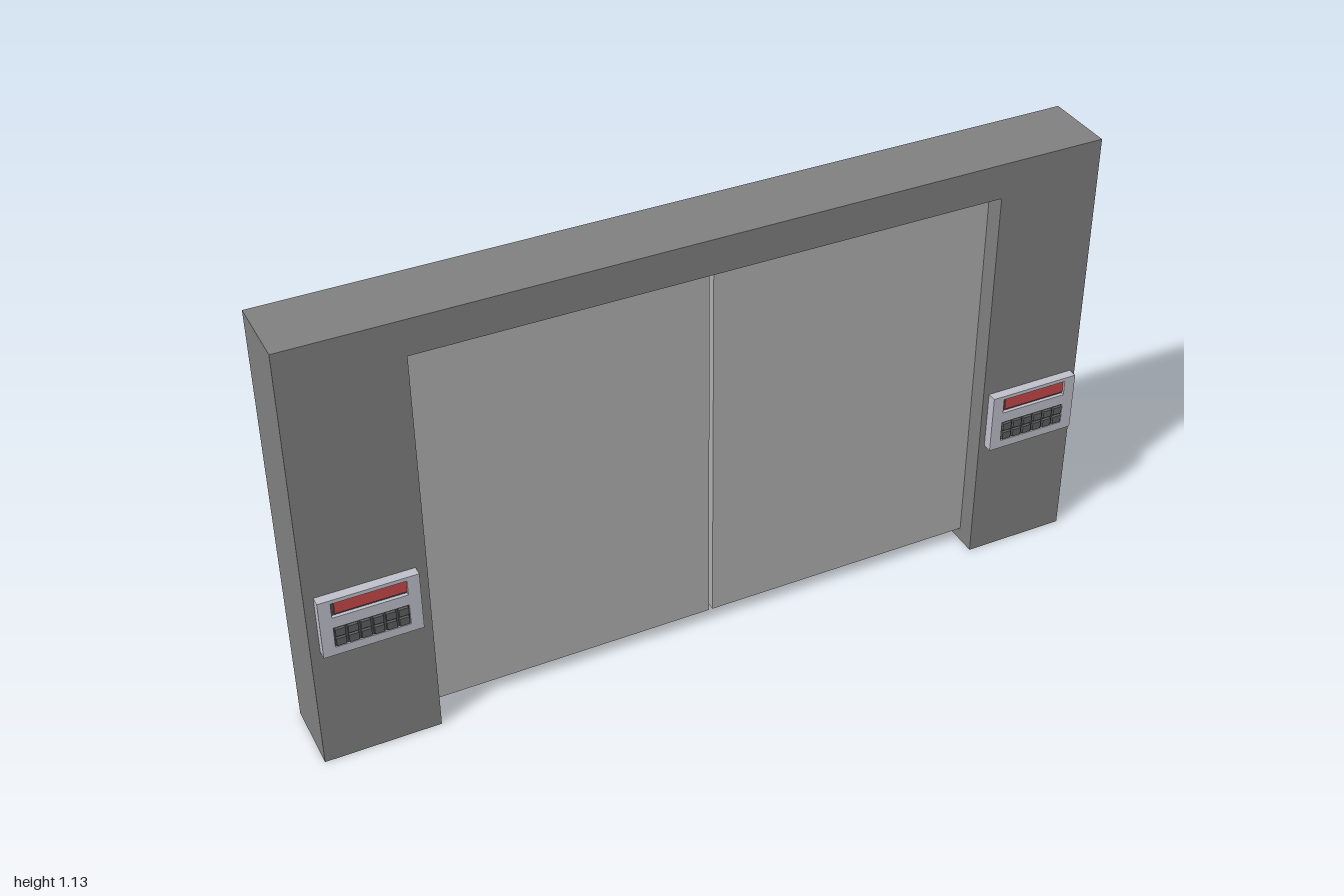
import * as THREE from 'three';

const material = (color) => new THREE.MeshStandardMaterial({ color });
const frameMat = material(0x808080);
const doorMat = material(0xb0b0b0);
const plateMat = material(0xc0c0cc);
const redMat = material(0xc84848);
const darkMat = material(0x484a4a);
const keyMat = material(0x5c6060);

// Box given by its lower and upper limits on each axis
function box(name, mat, x0, x1, y0, y1, z0, z1) {
  const mesh = new THREE.Mesh(new THREE.BoxGeometry(x1 - x0, y1 - y0, z1 - z0), mat);
  mesh.position.set((x0 + x1) / 2, (y0 + y1) / 2, (z0 + z1) / 2);
  mesh.name = name;
  return mesh;
}

function extrude(name, mat, shape, depth, z) {
  const mesh = new THREE.Mesh(new THREE.ExtrudeGeometry(shape, { depth, bevelEnabled: false }), mat);
  mesh.position.z = z;
  mesh.name = name;
  return mesh;
}

const polygon = (points) => points.map(([x, y]) => new THREE.Vector2(x, y));
const rectangle = (x0, x1, y0, y1) => polygon([[x0, y0], [x1, y0], [x1, y1], [x0, y1]]);

// Control panel, centred on x and standing on z = 0
function controlPanel(name) {
  const panel = new THREE.Group();
  panel.name = name;
  const w = 0.118, d = 0.0885;
  panel.add(box('panelBack', plateMat, -w, w, 0.328, 0.484, 0, 0.014));

  // Face plate with openings for display and keypad
  const face = new THREE.Shape(rectangle(-w, w, 0.328, 0.484));
  face.holes.push(new THREE.Path(rectangle(-d, d, 0.434, 0.474)));
  face.holes.push(new THREE.Path(rectangle(-d, d, 0.35, 0.405)));
  panel.add(extrude('panelFace', plateMat, face, 0.01, 0.014));
  panel.add(box('displaySurround', darkMat, -d, d, 0.434, 0.474, 0.013, 0.015));
  panel.add(box('display', redMat, -d + 0.009, d, 0.439, 0.474, 0.014, 0.018));
  panel.add(box('keypadBed', darkMat, -d, d, 0.35, 0.405, 0.013, 0.02));

  // Two rows of six keys
  for (let row = 0; row < 2; row++) {
    for (let col = 0; col < 6; col++) {
      const x = (col - 2.5) * 0.0295, y = 0.3645 + row * 0.0265;
      panel.add(box('key', keyMat, x - 0.0115, x + 0.0115, y - 0.01, y + 0.01, 0.018, 0.027));
    }
  }
  return panel;
}

export function createModel() {
  const group = new THREE.Group();
  group.name = 'slidingDoor';

  // Frame: two pillars joined by a lintel
  const left = -0.714, right = 0.734, top = 1.04, height = 1.13;
  const outline = new THREE.Shape(polygon([
    [-1, 0], [left, 0], [left, top], [right, top],
    [right, 0], [1, 0], [1, height], [-1, height],
  ]));
  group.add(extrude('frame', frameMat, outline, 0.182, -0.103));

  // Door leaves with a narrow gap between them
  const middle = 0.014, gap = 0.005;
  group.add(box('rightDoor', doorMat, left, middle - gap, 0.035, top, -0.016, 0.029));
  group.add(box('leftDoor', doorMat, middle + gap, right, 0.035, top, -0.016, 0.029));

  // A control panel on each pillar
  for (const [name, x] of [['rightPanel', -0.859], ['leftPanel', 0.868]]) {
    const panel = controlPanel(name);
    panel.position.set(x, 0, 0.079);
    group.add(panel);
  }
  return group;
}
